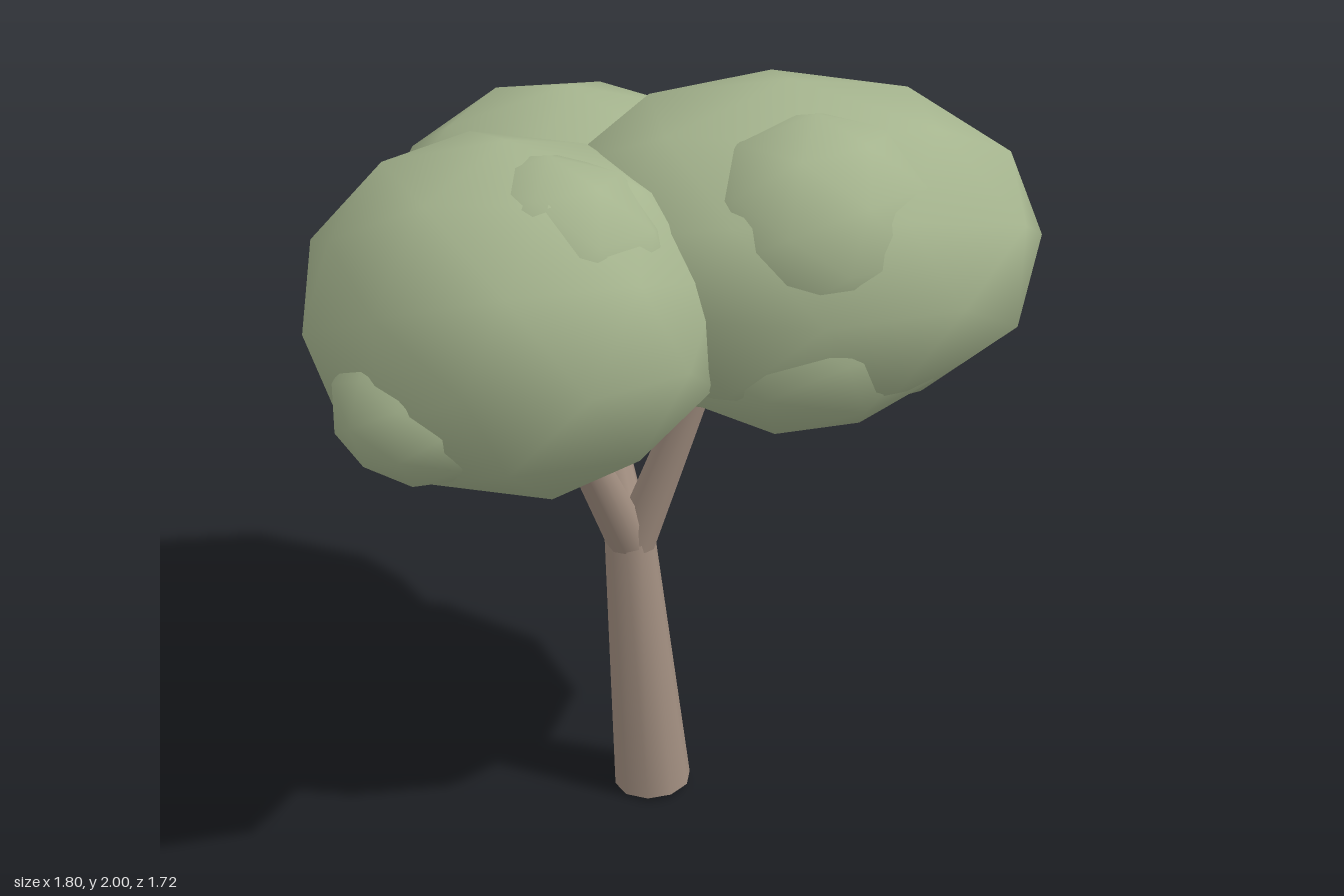
import * as THREE from 'three';

const foliage = new THREE.MeshStandardMaterial({ color: 0xa5b48e });
foliage.name = 'sage green foliage';
const bark = new THREE.MeshStandardMaterial({ color: 0xa08d7f, side: THREE.DoubleSide });
bark.name = 'grey brown bark';

// Tapered open-ended limb running from point a (radius ra) to point b (radius rb)
function limb(name, a, b, ra, rb) {
  const start = new THREE.Vector3(...a);
  const end = new THREE.Vector3(...b);
  const axis = end.clone().sub(start);
  const mesh = new THREE.Mesh(new THREE.CylinderGeometry(rb, ra, axis.length(), 10, 1, true), bark);
  mesh.name = name;
  mesh.position.copy(start).add(end).multiplyScalar(0.5);
  mesh.quaternion.setFromUnitVectors(new THREE.Vector3(0, 1, 0), axis.normalize());
  return mesh;
}

// Smooth-shaded, low-poly ellipsoid of leaves; spin turns the facets, turn the whole ellipsoid
function leafBall(name, center, radii, spin = 0, turn = 0) {
  const mesh = new THREE.Mesh(new THREE.IcosahedronGeometry(1, 1).rotateY(spin), foliage);
  mesh.name = name;
  mesh.position.set(...center);
  mesh.scale.set(...radii);
  mesh.rotation.y = turn;
  return mesh;
}

export function createModel() {
  const tree = new THREE.Group();
  tree.name = 'tree';

  // Leaning trunk, splitting into three branches
  tree.add(
    limb('trunk', [0.088, 0.01, -0.11], [0.037, 0.77, -0.065], 0.104, 0.066),
    limb('frontBranch', [0.042, 0.75, -0.06], [0.062, 1.25, 0.22], 0.058, 0.037),
    limb('leftBranch', [0.05, 0.75, -0.07], [0.2, 1.3, -0.185], 0.058, 0.037),
    limb('rightBranch', [0.035, 0.75, -0.07], [-0.2, 1.16, -0.17], 0.056, 0.037),
  );

  // Three large crowns
  tree.add(
    leafBall('frontCrown', [0.055, 1.52, 0.36], [0.535, 0.42, 0.475], -0.47),
    leafBall('leftCrown', [0.335, 1.59, -0.295], [0.54, 0.41, 0.635], 0, -0.7),
    leafBall('rightCrown', [-0.37, 1.395, -0.26], [0.53, 0.448, 0.55]),
  );

  // Smaller clumps barely breaking through the crowns
  tree.add(
    leafBall('frontLowerClump', [0.06, 1.39, 0.62], [0.22, 0.2, 0.24]),
    leafBall('frontUpperClump', [0.19, 1.665, 0.36], [0.3, 0.27, 0.27]),
    leafBall('leftUpperClump', [0.51, 1.7, -0.18], [0.3, 0.28, 0.33]),
    leafBall('leftLowerClump', [0.42, 1.48, -0.24], [0.4, 0.3, 0.42]),
    leafBall('rightOuterClump', [-0.62, 1.37, -0.02], [0.265, 0.22, 0.265]),
  );
  return tree;
}
